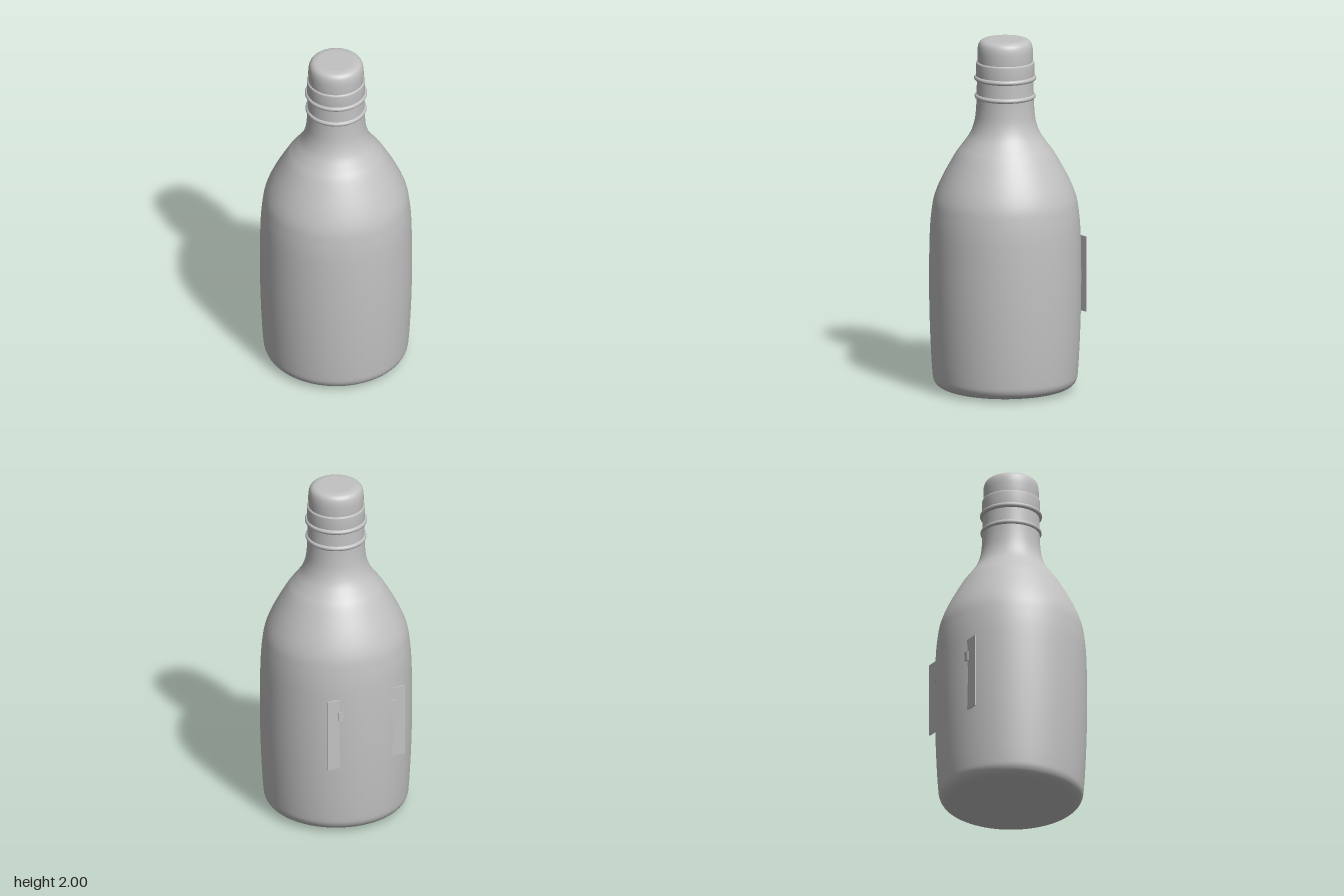
import * as THREE from 'three';

const grey = new THREE.MeshStandardMaterial({ color: 0xc2c2c2 });
grey.name = 'grey';

export function createModel() {
  const model = new THREE.Group();
  const add = (name, geometry, x = 0, y = 0, z = 0) => {
    const mesh = new THREE.Mesh(geometry, grey);
    mesh.name = name;
    mesh.position.set(x, y, z);
    model.add(mesh);
    return mesh;
  };
  // smooth turned form through a few [radius, height] points
  const turned = (points, samples) => {
    const curve = new THREE.SplineCurve(points.map(([r, y]) => new THREE.Vector2(r, y)));
    const profile = curve.getPoints(samples);
    profile.forEach((p) => { p.x = Math.max(p.x, 0); p.y = Math.max(p.y, 0); });
    return new THREE.LatheGeometry(profile, 72);
  };

  // body, shoulder and neck
  add('bottleBody', turned([
    [0, 0.02], [0.06, 0.012], [0.2, 0.005], [0.3, 0.008], [0.365, 0.022], [0.398, 0.055],
    [0.408, 0.12], [0.418, 0.3], [0.424, 0.5], [0.425, 0.7], [0.421, 0.9], [0.411, 1.02],
    [0.394, 1.11], [0.35, 1.215], [0.278, 1.345], [0.235, 1.405], [0.195, 1.465],
    [0.172, 1.53], [0.163, 1.6], [0.16, 1.68], [0.158, 1.78],
  ], 120));

  // collar around the top of the neck
  add('collar', new THREE.LatheGeometry([
    [0.155, 1.77], [0.163, 1.785], [0.163, 1.862], [0.16, 1.871], [0.148, 1.873],
  ].map(([r, y]) => new THREE.Vector2(r, y)), 72));

  // two raised neck rings
  for (const [y, r] of [[1.676, 0.157], [1.78, 0.16]]) {
    add('neckRing', new THREE.TorusGeometry(r, 0.014, 12, 72).rotateX(Math.PI / 2), 0, y, 0);
  }

  // rounded cap with a flat top
  add('cap', turned([
    [0.153, 1.86], [0.155, 1.9], [0.154, 1.945], [0.146, 1.977], [0.128, 1.994], [0.1, 2],
  ], 30));
  add('capTop', new THREE.CircleGeometry(0.1, 72).rotateX(-Math.PI / 2), 0, 2, 0);

  // flat label panel set into the back, with a short raised strip across it
  add('backLabel', new THREE.BoxGeometry(0.48, 0.43, 0.008), 0, 0.645, -0.387);
  add('labelStrip', new THREE.BoxGeometry(0.35, 0.055, 0.009), 0, 0.758, -0.395);

  return model;
}
